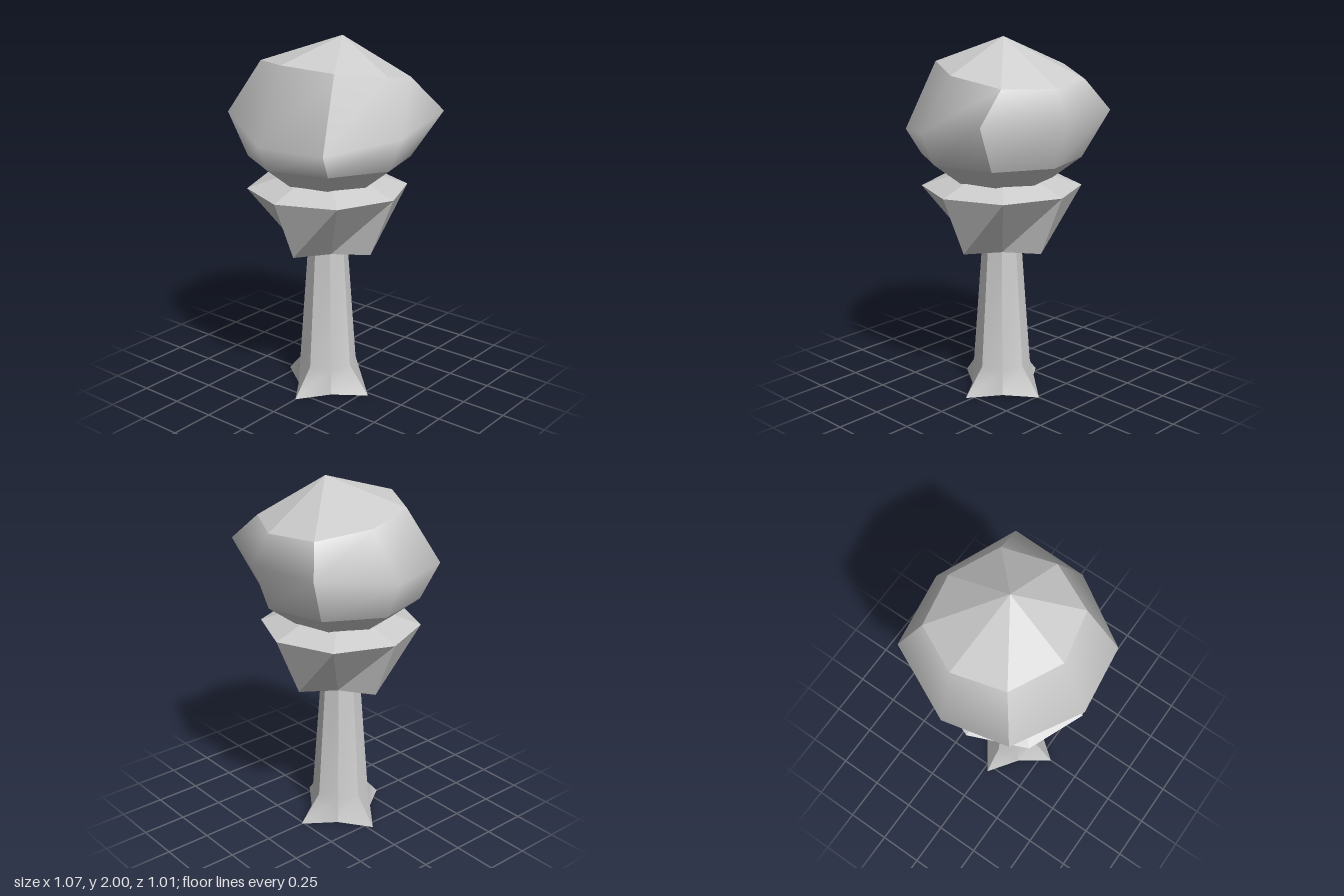
import * as THREE from 'three';

const material = new THREE.MeshStandardMaterial({ color: 0xcccccc });
const flat = new THREE.MeshStandardMaterial({ color: 0xcccccc, flatShading: true });
const SIDES = 8;

// Eight-sided ring, counter-clockwise from the front; every second corner may use its own radius.
function ring(y, radius, between = radius, turn = 0, cx = 0, cz = 0.027) {
  return Array.from({ length: SIDES }, (_, k) => {
    const a = (k / SIDES) * Math.PI * 2 + turn;
    const r = k % 2 ? between : radius;
    return [cx + Math.sin(a) * r, y, cz + Math.cos(a) * r];
  });
}

// Skin a run of columns through rings listed bottom to top; smooth inside the patch.
function patch(rings, start, columns) {
  const positions = [], index = [], w = columns + 1;
  rings.forEach((r, j) => {
    for (let c = 0; c < w; c++) {
      positions.push(...r[(start + c) % SIDES]);
      if (j && c) {
        const d = j * w + c, b = d - w;
        index.push(b - 1, b, d, b - 1, d, d - 1);
      }
    }
  });
  return finish(positions, index);
}

// Fan from a centre point to a ring.
function fan(r, centre, up) {
  const index = [];
  for (let k = 0; k < SIDES; k++) {
    const a = k + 1, b = ((k + 1) % SIDES) + 1;
    index.push(0, up ? a : b, up ? b : a);
  }
  return finish([...centre, ...r.flat()], index);
}

function finish(positions, index) {
  const g = new THREE.BufferGeometry();
  g.setAttribute('position', new THREE.Float32BufferAttribute(positions, 3));
  g.setIndex(index);
  g.computeVertexNormals();
  return g;
}

function part(name, geometries, mat) {
  const group = new THREE.Group();
  group.name = name;
  geometries.forEach((g) => {
    const mesh = new THREE.Mesh(g, mat);
    mesh.name = name;
    group.add(mesh);
  });
  return group;
}

export function createModel() {
  const model = new THREE.Group();
  model.name = 'tree';

  // Trunk: tapering octagon with a four-pointed root flare, creased along each corner
  const foot = ring(0, 0.29, 0.17);
  const trunkRings = [foot, ring(0.15, 0.16), ring(0.87, 0.108)];
  const strips = foot.map((_, k) => patch(trunkRings, k, 1));
  model.add(part('trunk', [...strips, fan(foot, [0, 0, 0.027], false)], material));

  // Lower foliage: star-shaped underside opening to an octagonal rim
  const under = ring(0.845, 0.295, 0.17);
  const lip = ring(1.235, 0.28);
  model.add(part('lowerFoliage', [
    patch([under, ring(1.18, 0.44), lip], 0, SIDES),
    fan(under, [0, 0.845, 0.027], false),
    fan(lip, [0, 1.235, 0.027], true),
  ], flat));

  // Crown rings: regular below, uneven at the widest part and shoulder
  const turn = -0.122;
  const base = ring(1.23, 0.28, 0.28, turn, 0.005, 0.025);
  const belly = ring(1.35, 0.44, 0.44, turn, 0.008, 0.025);
  const widest = [
    [-0.07, 1.48, 0.505], [0.315, 1.48, 0.455], [0.53, 1.535, 0.09], [0.51, 1.61, -0.32],
    [0.065, 1.61, -0.505], [-0.35, 1.61, -0.44], [-0.535, 1.56, -0.04], [-0.46, 1.58, 0.315],
  ];
  const shoulder = [
    [-0.05, 1.88, 0.345], [0.245, 1.86, 0.28], [0.385, 1.82, 0.015], [0.32, 1.775, -0.28],
    [0.05, 1.76, -0.41], [-0.245, 1.775, -0.35], [-0.38, 1.82, -0.085], [-0.315, 1.86, 0.205],
  ];

  // Crown sides: four smooth panels, each two columns wide
  const panels = [1, 3, 5, 7].map((k) => patch([belly, widest, shoulder], k, 2));
  model.add(part('crownSides', panels, material));

  // Faceted crown cap and underside
  model.add(part('crownCap', [fan(shoulder, [0.05, 2, -0.035], true)], flat));
  model.add(part('crownUnderside', [
    patch([base, belly], 0, SIDES),
    fan(base, [0.005, 1.23, 0.025], false),
  ], flat));

  return model;
}
